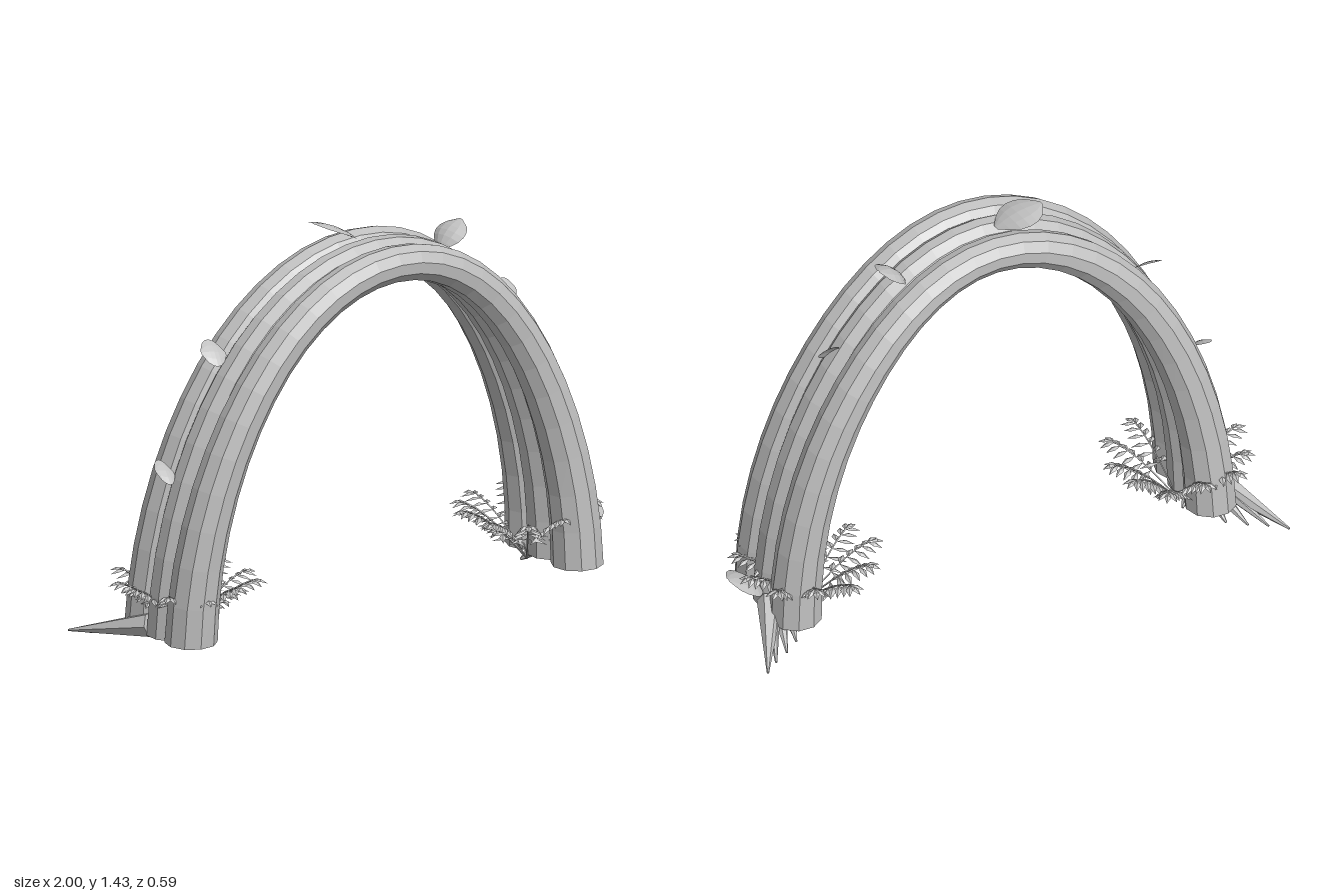
import * as THREE from 'three';
import { mergeGeometries } from 'three/addons/utils/BufferGeometryUtils.js';

const V = (x, y, z) => new THREE.Vector3(x, y, z);

function fromFaces(points, index) {
  const g = new THREE.BufferGeometry();
  g.setAttribute('position', new THREE.Float32BufferAttribute(points.flatMap(p => [p.x, p.y, p.z]), 3));
  g.setIndex(index);
  g.computeVertexNormals();
  return g;
}

// One vine trunk: a ten-sided tube swept along half an ellipse, weaving in z
function trunk(zs, turn) {
  const a = 0.79, b = 1.24, y0 = 0.055, n = 28, sides = 10;
  const weave = new THREE.CatmullRomCurve3(zs.map((z, i) => V(i, 0, z)));
  const pts = [], idx = [];
  for (let i = 0; i <= n; i++) {
    const t = Math.PI * i / n, c = Math.cos(t), s = Math.sin(t);
    const centre = V(a * c, y0 + b * s, weave.getPoint(i / n).z);
    const out = V(b * c, a * s, 0).normalize();
    const r = 0.065 + 0.027 * (1 - s) ** 0.8;
    for (let j = 0; j < sides; j++) {
      const p = turn + j / sides * Math.PI * 2;
      pts.push(centre.clone().addScaledVector(out, r * Math.cos(p)).add(V(0, 0, r * Math.sin(p))));
    }
  }
  for (let i = 0; i < n; i++) for (let j = 0; j < sides; j++) {
    const k = (j + 1) % sides, A = i * sides, B = A + sides;
    idx.push(A + j, B + j, A + k, B + j, B + k, A + k);
  }
  const last = n * sides;
  for (let j = 1; j < sides - 1; j++) {
    idx.push(0, j, j + 1, last, last + j + 1, last + j);
  }
  return fromFaces(pts, idx);
}

// Broad cupped leaf from base to tip, with a half-width vector
function broadLeaf(base, tip, half, cup) {
  const n = 6, widths = [0.15, 0.6, 0.9, 1, 0.95, 0.7, 0.12];
  const normal = half.clone().cross(tip.clone().sub(base)).normalize();
  if (normal.y < 0) normal.negate();
  const pts = [], idx = [];
  for (let i = 0; i <= n; i++) for (let j = -2; j <= 2; j++) {
    const u = i / n, v = j / 2;
    pts.push(base.clone().lerp(tip, u)
      .addScaledVector(half, v * widths[i])
      .addScaledVector(normal, cup * (Math.sin(Math.PI * u) - v * v * widths[i])));
  }
  for (let i = 0; i < n; i++) for (let j = 0; j < 4; j++) {
    const k = i * 5 + j;
    idx.push(k, k + 1, k + 5, k + 1, k + 6, k + 5);
  }
  return fromFaces(pts, idx);
}

// Small folded leaflet pointing along the given flat angle
function leaflet(at, angle, length, width) {
  const d = V(Math.cos(angle), 0, Math.sin(angle)), s = V(-d.z, 0, d.x);
  const mid = at.clone().addScaledVector(d, length * 0.5).add(V(0, 0.004, 0));
  const end = at.clone().addScaledVector(d, length).add(V(0, -0.012, 0));
  const l = mid.clone().addScaledVector(s, width / 2).add(V(0, -0.007, 0));
  const r = mid.clone().addScaledVector(s, -width / 2).add(V(0, -0.007, 0));
  return fromFaces([at, l, mid, r, end], [0, 1, 2, 1, 4, 2, 0, 2, 3, 2, 4, 3]);
}

// Fern frond growing outward along +x, with paired leaflets
function frond(reach, height) {
  const stem = new THREE.QuadraticBezierCurve3(V(0, 0, 0), V(reach * 0.5, height * 0.85, 0), V(reach * 0.82, height, 0));
  const parts = [new THREE.TubeGeometry(stem, 6, 0.003, 4)];
  parts[0].deleteAttribute('uv');
  for (let i = 0; i < 6; i++) {
    const t = 0.35 + i * 0.12, p = stem.getPoint(t);
    for (const s of [-1, 1]) parts.push(leaflet(p, s * (1.15 - 0.1 * i), 0.075 - 0.004 * i, 0.024));
  }
  parts.push(leaflet(stem.getPoint(1), 0, reach * 0.18, 0.024));
  return mergeGeometries(parts);
}

// Tapered root between two points
function spike(from, to, r) {
  const d = to.clone().sub(from);
  const g = new THREE.CylinderGeometry(0.004, r, d.length(), 6);
  g.translate(0, d.length() / 2, 0);
  g.applyQuaternion(new THREE.Quaternion().setFromUnitVectors(V(0, 1, 0), d.normalize()));
  return g.translate(from.x, from.y, from.z);
}

export function createModel() {
  const model = new THREE.Group();
  model.name = 'vineArch';
  const grey = new THREE.MeshStandardMaterial({ color: 0xc0c0c0, flatShading: true, side: THREE.DoubleSide });
  grey.name = 'stoneGrey';
  const add = (name, geometry, parent = model) => {
    const mesh = new THREE.Mesh(geometry, grey);
    mesh.name = name;
    parent.add(mesh);
    return mesh;
  };

  // Three trunks side by side, listed from the +x foot to the -x foot
  add('frontTrunk', trunk([0.19, 0.165, 0.215, 0.205, 0.15], 0.1));
  add('middleTrunk', trunk([0.04, 0.045, 0.1, 0.08, 0.035], 0.3));
  add('backTrunk', trunk([-0.09, -0.08, -0.015, -0.035, -0.095], 0));

  // Leaves sprouting from the outside of the arch
  const leaves = [
    [V(-0.04, 1.355, 0.05), V(-0.2, 1.43, 0.02), V(0.01, 0, 0.08), 0.015],
    [V(0.31, 1.25, 0.05), V(0.42, 1.33, 0.02), V(0.01, 0, 0.07), 0.02],
    [V(0.56, 1.03, 0.04), V(0.645, 1.035, 0.03), V(0, 0.042, -0.034), 0.008],
    [V(-0.57, 1.03, 0.04), V(-0.66, 1.045, 0.02), V(0.01, 0.035, -0.045), 0.008],
    [V(-0.785, 0.635, 0.04), V(-0.85, 0.65, 0.02), V(0.01, 0.03, -0.05), 0.008],
    [V(0.86, 0.12, 0.03), V(0.99, 0.195, 0.03), V(0, 0, 0.085), 0.02],
  ];
  leaves.forEach((l, i) => add('leaf' + (i + 1), broadLeaf(...l)));

  // Ferns and roots around each foot
  const count = 11;
  for (const side of [-1, 1]) {
    const foot = new THREE.Group();
    foot.name = side > 0 ? 'leftFoot' : 'rightFoot';
    model.add(foot);
    for (let i = 0; i < count; i++) {
      const f = add('fernFrond', frond(0.27 + 0.015 * (i % 2), 0.19 + 0.008 * (i % 3)), foot);
      f.position.set(side * 0.71, 0.035, 0);
      f.rotation.y = (i + 0.25) / count * Math.PI * 2 * side;
    }
    add('mainRoot', spike(V(side * 0.85, 0.085, -0.01), V(side * 0.995, 0.012, -0.3), 0.045), foot);
    const roots = [[0.76, 0.07, 0, 0.71, 0.02, -0.04], [0.8, 0.07, -0.05, 0.82, 0.002, -0.16],
      [0.83, 0.07, -0.04, 0.88, 0.005, -0.21], [0.85, 0.08, -0.03, 0.94, 0.008, -0.25]];
    for (const [a, b, c, d, e, f] of roots) {
      add('smallRoot', spike(V(side * a, b, c), V(side * d, e, f), 0.03), foot);
    }
  }
  return model;
}
